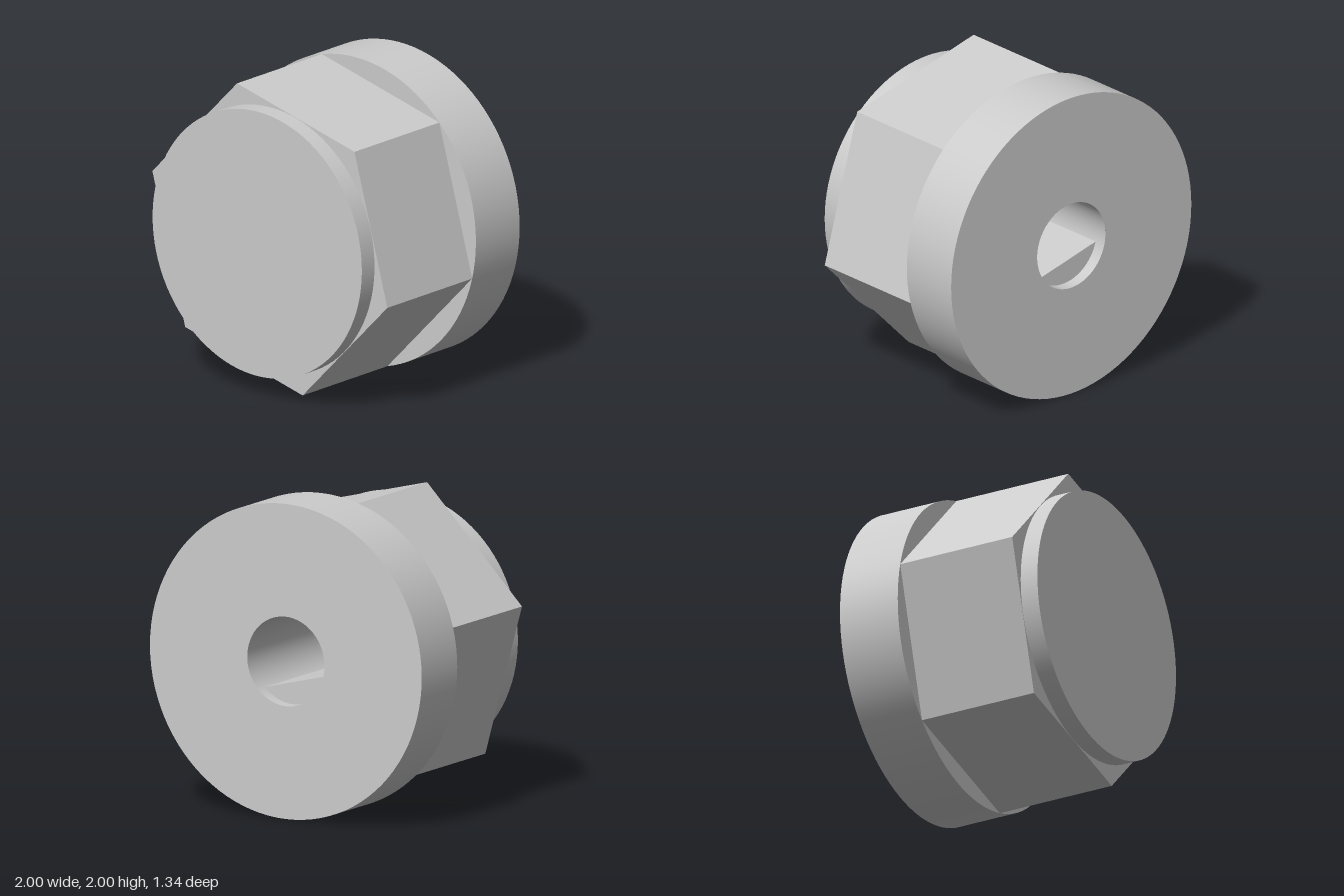
import * as THREE from 'three';

const BACK = -0.67, COLLAR = -0.255, HEX = 0.55, FRONT = 0.67; // stations along z
const STEP = -0.59, BORE_END = 0.35;
const R = 1, R_CAP = 0.863, R_BORE = 0.284, FLAT = 0.14;
const TILT = THREE.MathUtils.degToRad(-14.3); // turn of the hexagon and the bore's flat

export function createModel() {
  const root = new THREE.Group();
  root.name = 'knob';
  root.position.y = 1;
  const smooth = new THREE.MeshStandardMaterial({ color: 0xcccccc });
  const flat = new THREE.MeshStandardMaterial({ color: 0xcccccc, flatShading: true });

  const add = (parent, name, geometry, material = smooth) => {
    const mesh = new THREE.Mesh(geometry, material);
    mesh.name = name;
    parent.add(mesh);
    return mesh;
  };
  // Surface of revolution about z between two (radius, z) points
  const band = (r1, z1, r2, z2) =>
    new THREE.LatheGeometry([new THREE.Vector2(r1, z1), new THREE.Vector2(r2, z2)], 96).rotateX(Math.PI / 2);

  // Round collar at the back, with the mouth of the bore
  const collar = new THREE.Group();
  collar.name = 'collar';
  add(collar, 'collarBackFace', band(R_BORE, BACK, R, BACK));
  add(collar, 'collarRim', band(R, BACK, R, COLLAR));
  add(collar, 'collarFrontFace', band(R, COLLAR, 0.8, COLLAR));

  // Disc at the front
  const cap = new THREE.Group();
  cap.name = 'frontCap';
  add(cap, 'capRim', band(R_CAP, HEX, R_CAP, FRONT));
  add(cap, 'capFace', new THREE.CircleGeometry(R_CAP, 96).translate(0, 0, FRONT));

  // Hexagonal grip
  const grip = new THREE.Group();
  grip.name = 'hexGrip';
  grip.rotation.z = TILT;
  add(grip, 'gripSides', new THREE.CylinderGeometry(R, R, HEX - COLLAR, 6, 1, true, Math.PI / 2)
    .rotateX(Math.PI / 2).translate(0, 0, (HEX + COLLAR) / 2), flat);
  add(grip, 'gripFrontFace', new THREE.CircleGeometry(R, 6).translate(0, 0, HEX), flat);

  // D-shaped shaft bore: round wall, a flat starting just inside the mouth, closed end
  const bore = new THREE.Group();
  bore.name = 'shaftBore';
  bore.rotation.z = TILT;
  add(bore, 'boreWall', band(R_BORE, BORE_END, R_BORE, BACK));
  add(bore, 'boreEnd', new THREE.CircleGeometry(R_BORE, 96).rotateY(Math.PI).translate(0, 0, BORE_END));
  const half = Math.sqrt(R_BORE ** 2 - FLAT ** 2);
  add(bore, 'boreFlat', new THREE.PlaneGeometry(2 * half, BORE_END - STEP)
    .rotateX(-Math.PI / 2).translate(0, -FLAT, (BORE_END + STEP) / 2), flat);
  const a = Math.asin(FLAT / R_BORE);
  const segment = new THREE.Shape().absarc(0, 0, R_BORE, Math.PI + a, 2 * Math.PI - a, false);
  add(bore, 'boreStep', new THREE.ShapeGeometry(segment, 32).rotateY(Math.PI).translate(0, 0, STEP));

  root.add(collar, cap, grip, bore);
  const model = new THREE.Group();
  model.name = 'hexKnob';
  model.add(root);
  return model;
}
